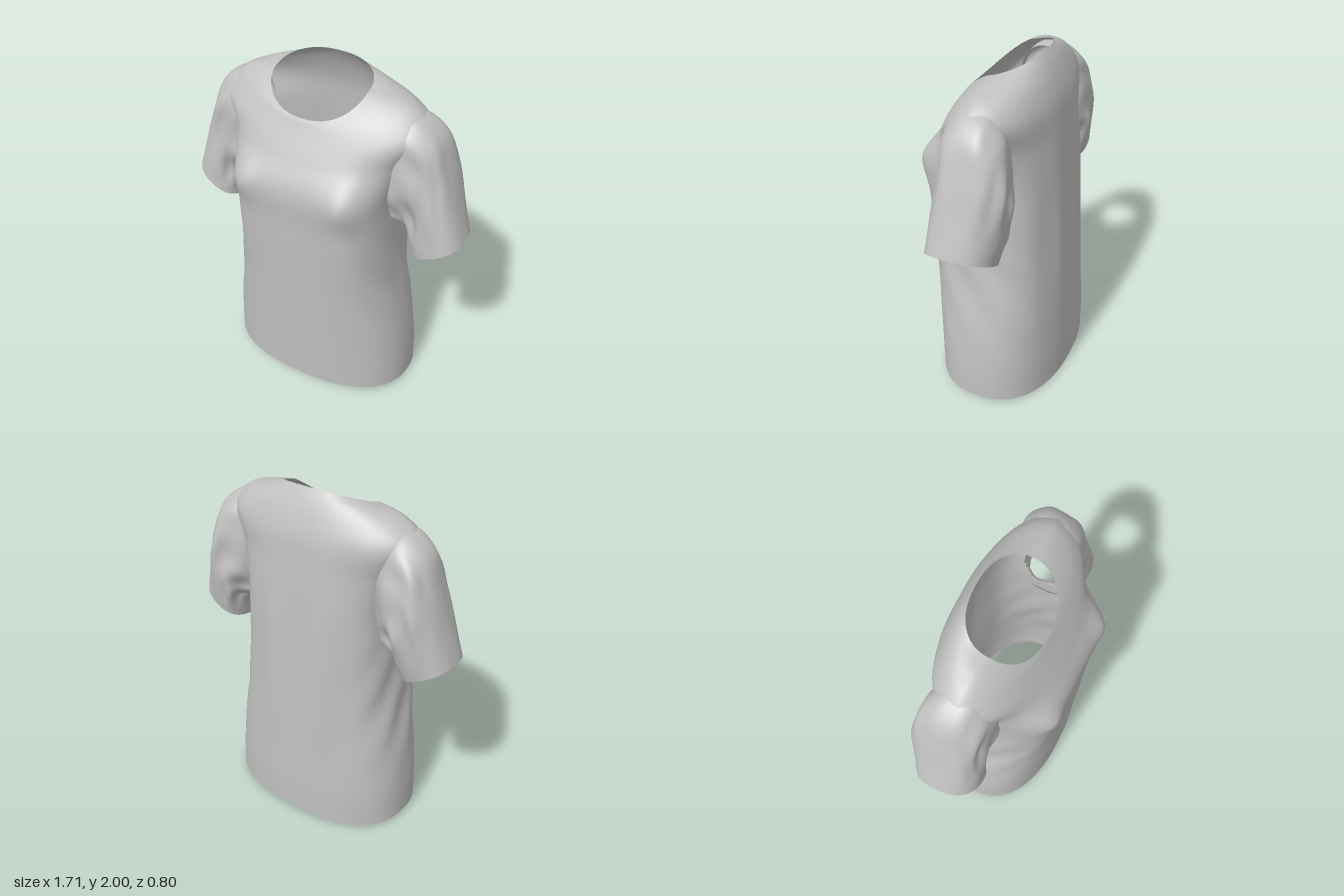
import * as THREE from 'three';

const SEG = 128;
const bell = (v, c, w) => Math.exp(-(((v - c) / w) ** 2));
const power = (v, p) => Math.sign(v) * Math.abs(v) ** p;

// Smooth skin through a list of rings; pointAt(ring, angle) gives a point on one ring.
function loft(rings, pointAt, steps, { fold, skip = () => false, flip = false }) {
  const pos = [], index = [];
  for (let j = 0; j < SEG; j++) {
    const a = (j / SEG) * Math.PI * 2;
    const curve = new THREE.CatmullRomCurve3(rings.map((r) => pointAt(r, a)), false, 'centripetal');
    for (let i = 0; i <= steps; i++) {
      const p = curve.getPoint(i / steps);
      fold(p, a, i / steps);
      pos.push(p);
    }
  }
  const id = (i, j) => (j % SEG) * (steps + 1) + i;
  for (let j = 0; j < SEG; j++) {
    for (let i = 0; i < steps; i++) {
      const a = id(i, j), b = id(i, j + 1), c = id(i + 1, j), d = id(i + 1, j + 1);
      if ([a, b, c, d].every((k) => skip(pos[k]))) continue;
      if (flip) index.push(a, b, c, b, d, c);
      else index.push(a, c, b, b, c, d);
    }
  }
  const g = new THREE.BufferGeometry().setFromPoints(pos);
  g.setIndex(index);
  g.computeVertexNormals();
  return g;
}

// Body rings: half width, front z, back z, then y at front, side and back, and squareness
const BODY = [
  [0.587, 0.35, -0.4, 0.04, 0.03, 0.005, 2.35],
  [0.58, 0.355, -0.4, 0.2, 0.2, 0.2, 2.35],
  [0.555, 0.362, -0.39, 0.42, 0.42, 0.42, 2.4],
  [0.485, 0.377, -0.372, 0.82, 0.82, 0.82, 2.6],
  [0.46, 0.388, -0.35, 1.18, 1.18, 1.18, 2.9],
  [0.46, 0.394, -0.335, 1.43, 1.39, 1.4, 3.0],
  [0.51, 0.312, -0.318, 1.59, 1.6, 1.6, 2.5],
  [0.595, 0.253, -0.3, 1.69, 1.785, 1.76, 2.2],
  [0.515, 0.224, -0.267, 1.74, 1.875, 1.865, 2.15],
  [0.39, 0.21, -0.228, 1.765, 1.918, 1.945, 2.2],
  [0.28, 0.2, -0.19, 1.78, 1.93, 2.0, 2.25],
];

function bodyPoint([w, zf, zb, yf, ys, yb, n], a) {
  const c = Math.cos(a), s = Math.sin(a);
  const neckShift = -0.02 * THREE.MathUtils.smoothstep(ys, 1.87, 1.93);
  return new THREE.Vector3(
    neckShift + w * power(c, 2 / n),
    s > 0 ? ys + (yf - ys) * s ** 1.2 : ys - (yb - ys) * s,
    (zf + zb) / 2 + ((zf - zb) / 2) * power(s, 2 / n)
  );
}

// Bust points with drape lines spreading below, hanging back folds, diagonal side creases
function bodyFold(p, a) {
  const { x, y, z } = p;
  const s = Math.sin(a), c = Math.cos(a);
  if (s > 0) {
    const drape = 0.33 + 0.12 * Math.max(0, 1.42 - y);
    p.z += s * bell(Math.abs(x), drape, 0.1) * (0.045 * bell(y, 1.42, 0.12) + 0.025 * bell(y, 1.05, 0.4));
    p.z -= 0.008 * bell(x, 0, 0.15) * bell(y, 1.4, 0.2);
  } else {
    p.z += 0.009 * s * s * Math.cos(x * 20 + 0.6) * bell(y, 1.0, 0.55);
  }
  p.x += 0.007 * power(c, 3) * Math.sin(17 * (y - 1.4 * z)) * bell(y, 0.8, 0.33);
}

// Opening left in the body where the sleeve joins
const inArmhole = (p) =>
  Math.abs(p.x) > 0.4 && ((p.y - 1.51) / 0.24) ** 2 + ((p.z + 0.025) / 0.14) ** 2 < 1;

// Sleeve rings: top x, y, underside x, y, then front and back z
const SLEEVE = [
  [0.45, 1.84, 0.435, 1.24, 0.15, -0.195],
  [0.535, 1.85, 0.46, 1.205, 0.15, -0.225],
  [0.655, 1.765, 0.505, 1.19, 0.138, -0.245],
  [0.725, 1.595, 0.535, 1.165, 0.132, -0.255],
  [0.79, 1.385, 0.548, 1.1, 0.142, -0.235],
  [0.855, 1.185, 0.56, 1.03, 0.148, -0.21],
];

function sleeveGeometry(side) {
  const pointAt = ([tx, ty, bx, by, zf, zb], a) => {
    const c = power(Math.cos(a), 0.85), s = power(Math.sin(a), 0.8);
    return new THREE.Vector3(
      side * ((tx + bx) / 2 + ((tx - bx) / 2) * c),
      (ty + by) / 2 + ((ty - by) / 2) * c,
      (zf + zb) / 2 + ((zf - zb) / 2) * s
    );
  };
  // Lengthwise creases strongest near the underarm, and a slight twist at the cuff
  const fold = (p, a, t) => {
    const amount = 0.01 * Math.sin(Math.PI * Math.min(1, t * 1.1)) * (1 - 0.5 * Math.cos(a));
    const wave = Math.sin(7 * a + 5 * t + side) + 0.5 * Math.sin(11 * a - 7 * t);
    p.z += amount * wave * Math.sin(a) + side * 0.02 * t * t * Math.cos(a);
    p.x += side * amount * 0.6 * wave * Math.cos(a);
  };
  return loft(SLEEVE, pointAt, 40, { fold, flip: side > 0 });
}

export function createModel() {
  const group = new THREE.Group();
  group.name = 'shirt';
  const cloth = new THREE.MeshStandardMaterial({ color: 0xc0c0c0, side: THREE.DoubleSide });
  cloth.name = 'light grey cloth';

  const add = (name, geometry) => {
    const mesh = new THREE.Mesh(geometry, cloth);
    mesh.name = name;
    group.add(mesh);
  };
  add('body', loft(BODY, bodyPoint, 110, { fold: bodyFold, skip: inArmhole }));
  add('leftSleeve', sleeveGeometry(1));
  add('rightSleeve', sleeveGeometry(-1));
  return group;
}
